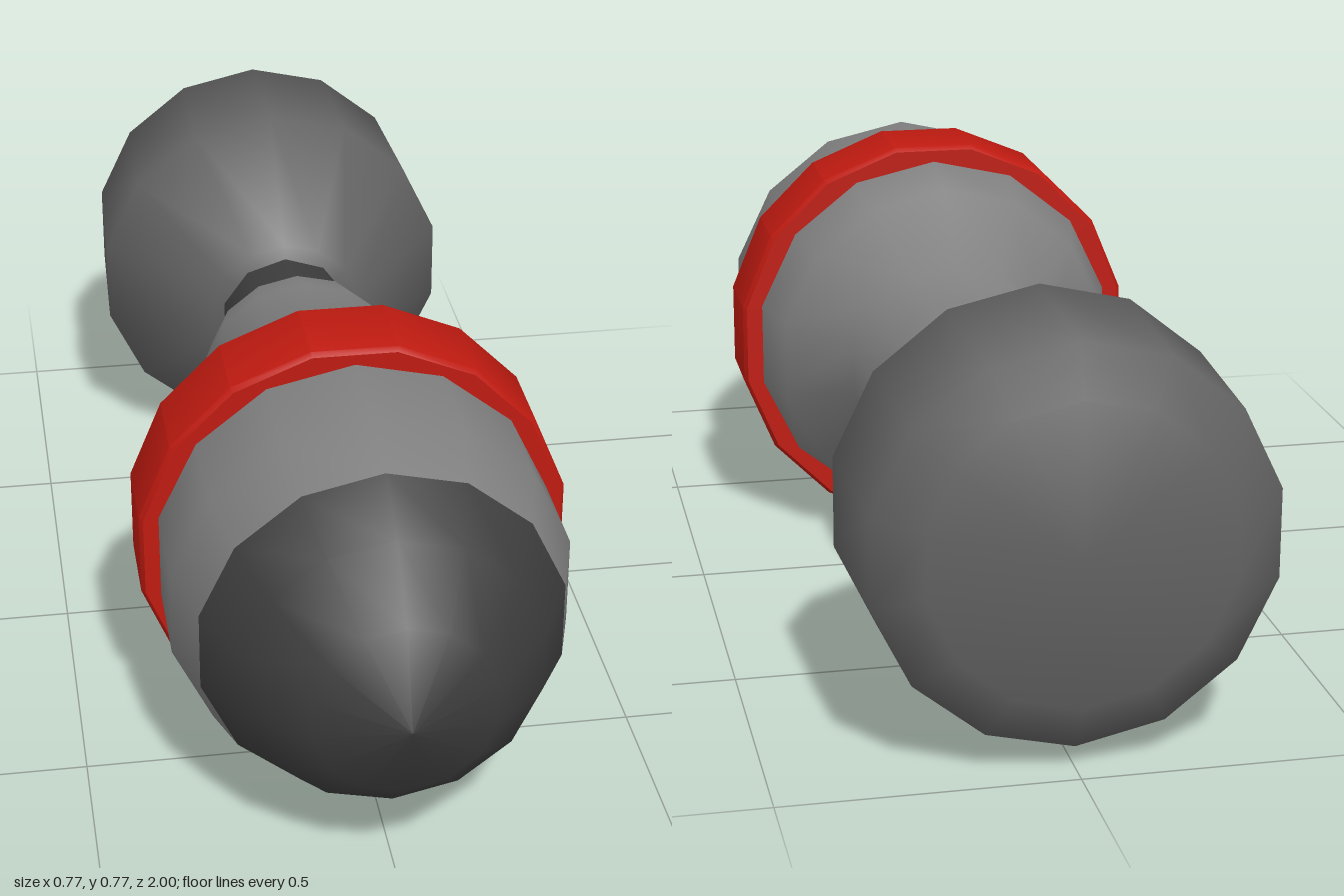
import * as THREE from 'three';
import { toCreasedNormals } from 'three/addons/utils/BufferGeometryUtils.js';

const AXIS_Y = 0.383;

// Revolves [radius, z] points (from back to front) around the long axis.
function turned(name, color, sides, profile, { crease = 0, phase = 0 } = {}) {
  const points = profile.map(([r, z]) => new THREE.Vector2(r, z));
  let geometry = new THREE.LatheGeometry(points, sides, phase);
  geometry.rotateX(Math.PI / 2);
  if (crease) geometry = toCreasedNormals(geometry, crease);
  const mesh = new THREE.Mesh(geometry, new THREE.MeshStandardMaterial({ color }));
  mesh.name = name;
  mesh.position.y = AXIS_Y;
  return mesh;
}

export function createModel() {
  const group = new THREE.Group();
  group.name = 'turnedCapsule';

  const grey = 0x808080, midGrey = 0x626262, darkGrey = 0x3c3c3c, red = 0xbe1a10;

  // Faceted dark nose
  group.add(turned('nose', darkGrey, 14, [
    [0.32, 0.72], [0.26, 0.83], [0.16, 0.94], [0, 1],
  ]));

  // Bulb narrowing to a sleeve
  group.add(turned('body', grey, 14, [
    [0, -0.29], [0.177, -0.29], [0.203, -0.2], [0.203, 0.03],
    [0.322, 0.135], [0.357, 0.25], [0.357, 0.6], [0.32, 0.72],
  ], { crease: 1.0 }));

  // Red band with slightly bevelled edges
  group.add(turned('band', red, 16, [
    [0.34, 0.24], [0.383, 0.24], [0.39, 0.25],
    [0.39, 0.405], [0.383, 0.415], [0.34, 0.415], [0.34, 0.24],
  ], { crease: 0.7, phase: Math.PI / 16 }));

  // Thin neck joining sleeve and tail
  group.add(turned('neck', darkGrey, 10, [[0.133, -0.47], [0.133, -0.28]], { crease: 0.7 }));

  // Flared tail with a chamfered flat end
  group.add(turned('tail', midGrey, 14, [
    [0, -1], [0.26, -1], [0.345, -0.955], [0.357, -0.67], [0.16, -0.455], [0, -0.455],
  ], { crease: 1.2 }));

  return group;
}
